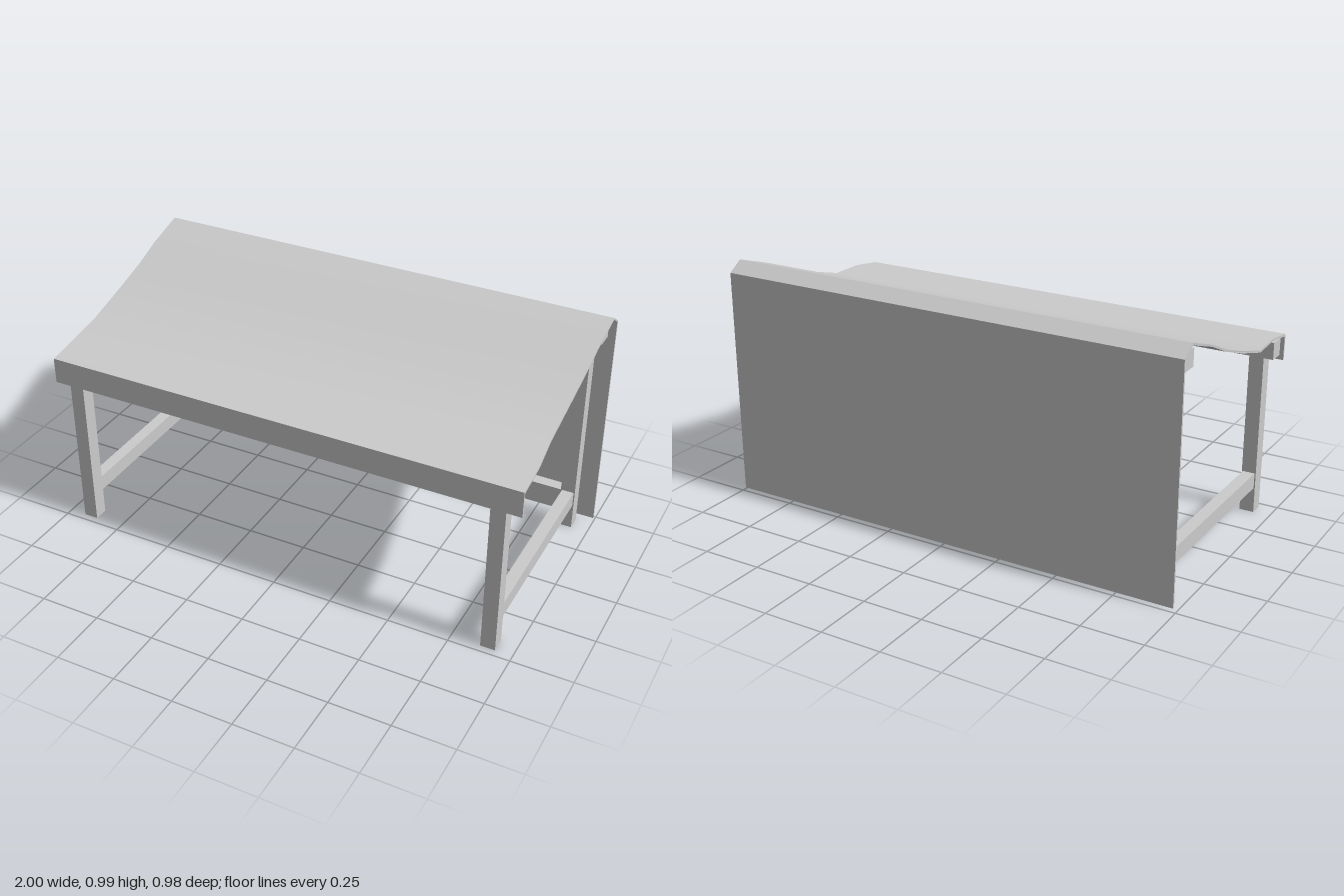
import * as THREE from 'three';
import { toCreasedNormals } from 'three/addons/utils/BufferGeometryUtils.js';

const material = new THREE.MeshStandardMaterial({ color: 0xcccccc, side: THREE.DoubleSide });

function add(group, name, geometry) {
  const mesh = new THREE.Mesh(geometry, material);
  mesh.name = name;
  group.add(mesh);
  return mesh;
}

// Box given by its limits on each axis
function box(group, name, [x0, x1], [y0, y1], [z0, z1]) {
  const mesh = add(group, name, new THREE.BoxGeometry(x1 - x0, y1 - y0, z1 - z0));
  mesh.position.set((x0 + x1) / 2, (y0 + y1) / 2, (z0 + z1) / 2);
  return mesh;
}

// Draped sheet: side profile as [z, y, sideways drift]
const PROFILE = [
  [0.488, 0.757, 0], [0.345, 0.778, 0], [0.175, 0.787, -0.018], [-0.01, 0.84, -0.016],
  [-0.155, 0.89, -0.011], [-0.27, 0.942, -0.006], [-0.425, 0.993, 0], [-0.487, 0.952, 0],
];
const X0 = -0.985, X1 = 0.995;

function sheetGeometry() {
  const upper = PROFILE.map(([z, y]) => new THREE.Vector2(-z, y));
  const lower = upper.map((p) => new THREE.Vector2(p.x, p.y - 0.009)).reverse();
  const geo = new THREE.ExtrudeGeometry(new THREE.Shape([...upper, ...lower]), {
    depth: X1 - X0, bevelEnabled: false,
  });
  geo.rotateY(Math.PI / 2).translate(X0, 0, 0);
  // Drift each profile line sideways
  const pos = geo.attributes.position;
  for (let i = 0; i < pos.count; i++) {
    const z = pos.getZ(i);
    const row = PROFILE.find((p) => Math.abs(p[0] - z) < 0.002);
    if (row) pos.setX(i, pos.getX(i) + row[2]);
  }
  return toCreasedNormals(geo, 0.5);
}

export function createModel() {
  const group = new THREE.Group();
  group.name = 'slopedStall';

  // Sheet with its front flap and back drop
  add(group, 'drapedTop', sheetGeometry());
  box(group, 'frontFlap', [X0, X1], [0.65, 0.75], [0.48, 0.488]);
  box(group, 'backPanel', [X0, X1], [0.008, 0.95], [-0.487, -0.478]);

  // Beams under the sheet
  box(group, 'frontBeam', [-0.97, 0.97], [0.67, 0.74], [0.408, 0.476]);
  box(group, 'backBeam', [-0.97, 0.97], [0.89, 0.96], [-0.455, -0.377]);

  // Legs and side rails
  for (const [side, s] of [['left', 1], ['right', -1]]) {
    const x = [s * 0.9 - 0.03, s * 0.9 + 0.03];
    box(group, side + 'FrontLeg', x, [0, 0.67], [0.411, 0.471]);
    box(group, side + 'BackLeg', x, [0, 0.89], [-0.445, -0.385]);
    const rail = box(group, side + 'SideRail', [s * 0.9 - 0.025, s * 0.9 + 0.025], [0.109, 0.174], [-0.39, 0.415]);
    if (s < 0) rail.rotation.x = 0.006;
  }

  // Long back rail, slightly out of level
  const backRail = box(group, 'backRail', [-0.88, 0.88], [0.118, 0.176], [-0.44, -0.39]);
  backRail.rotation.z = -0.006;

  return group;
}
